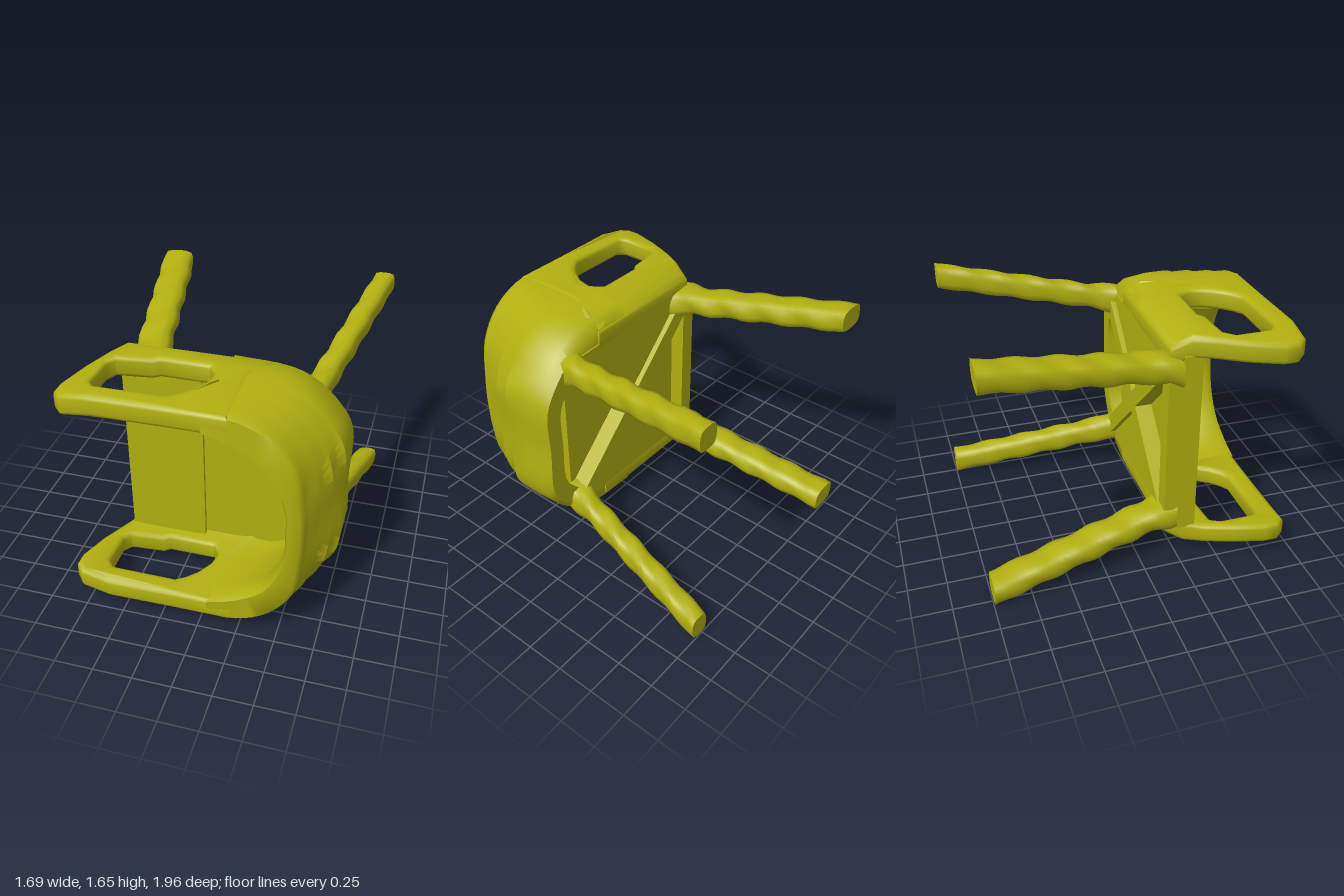
import * as THREE from 'three';
import { mergeVertices, toCreasedNormals } from 'three/addons/utils/BufferGeometryUtils.js';
import { ParametricGeometry } from 'three/addons/geometries/ParametricGeometry.js';

const material = new THREE.MeshStandardMaterial({ color: 0xb2b010, side: THREE.DoubleSide });

// Moves every vertex by a rule, then rebuilds smooth normals with sharp edges kept.
function shaped(geometry, rule, crease = 0.9) {
  const p = geometry.attributes.position;
  const v = new THREE.Vector3();
  for (let i = 0; i < p.count; i++) {
    v.fromBufferAttribute(p, i);
    rule(v);
    p.setXYZ(i, v.x, v.y, v.z);
  }
  geometry.deleteAttribute('uv');
  geometry.deleteAttribute('normal');
  return toCreasedNormals(mergeVertices(geometry, 1e-4), crease);
}

const outline = (points) => points.map(([x, y]) => new THREE.Vector2(x, y));

// U-shaped curve around the backrest, given one half and mirrored in y.
function uCurve(half) {
  const lower = half.map(([x, y]) => new THREE.Vector3(x, -y, 0));
  const upper = half.slice(0, -1).reverse().map(([x, y]) => new THREE.Vector3(x, y, 0));
  return new THREE.CatmullRomCurve3([...lower, ...upper], false, 'centripetal');
}

// Backrest: a wrapped wall that steps outward towards the seat.
function backGeometry() {
  const outer = [
    uCurve([[0.05, 0.755], [0.25, 0.75], [0.45, 0.65], [0.58, 0.46], [0.62, 0.2], [0.63, 0]]),
    uCurve([[0.05, 0.765], [0.4, 0.74], [0.56, 0.67], [0.7, 0.53], [0.79, 0.37], [0.79, 0]]),
  ];
  const inner = [
    uCurve([[0.05, 0.63], [0.2, 0.57], [0.38, 0.46], [0.48, 0.3], [0.53, 0.12], [0.53, 0]]),
    uCurve([[0.05, 0.62], [0.35, 0.6], [0.5, 0.52], [0.62, 0.4], [0.67, 0.28], [0.67, 0]]),
  ];
  // side, height z, flare from rim to base, narrowing in y
  const levels = [
    [outer, 0.19, 0.93, 0.9], [outer, 0.26, 1, 0.97], [outer, 0.4, 1, 1], [outer, 0.54, 1, 1],
    [outer, 0.57, 0.75, 1], [outer, 0.68, 0.72, 1], [outer, 0.71, 0.44, 1], [outer, 0.81, 0.4, 1],
    [outer, 0.84, 0.16, 1], [outer, 0.92, 0.1, 1], [outer, 0.955, -0.05, 0.985],
    [inner, 0.965, 0.12, 1.02], [inner, 0.92, 0, 1], [inner, 0.8, 0.15, 1], [inner, 0.55, 0.6, 1],
    [inner, 0.35, 0.9, 1], [inner, 0.19, 1, 0.92], [outer, 0.19, 0.93, 0.9],
  ];
  const a = new THREE.Vector3(), b = new THREE.Vector3();
  const n = levels.length - 1;
  const geometry = new ParametricGeometry((u, v, target) => {
    const [side, z, flare, narrow] = levels[Math.round(v * n)];
    side[0].getPoint(u, a);
    side[1].getPoint(u, b);
    a.lerp(b, flare);
    target.set(a.x, a.y * narrow, z);
  }, 40, n);
  return shaped(geometry, () => {}, 1.0);
}

// Armrest: side panel with an opening, leaning in at its foot and front tip.
function armGeometry(side) {
  const shape = new THREE.Shape(outline([
    [-0.6, 0.18], [0.3, 0.18], [0.3, 0.3], [0.2, 0.5], [0.2, 0.96], [-0.2, 0.96], [-0.6, 0.965],
    [-0.79, 0.95], [-0.845, 0.89], [-0.845, 0.8], [-0.78, 0.6], [-0.7, 0.42], [-0.64, 0.3],
  ]));
  shape.holes.push(new THREE.Path(outline([
    [-0.62, 0.5], [-0.4, 0.48], [-0.36, 0.45], [-0.05, 0.45], [0, 0.52], [-0.02, 0.62],
    [-0.08, 0.72], [-0.14, 0.78], [-0.2, 0.82], [-0.62, 0.82], [-0.66, 0.78], [-0.66, 0.56],
  ])));
  const geometry = new THREE.ExtrudeGeometry(shape, {
    depth: 0.08, bevelThickness: 0.03, bevelSize: 0.035, bevelOffset: -0.035, bevelSegments: 3,
  });
  geometry.translate(0, 0, -0.04).rotateX(Math.PI / 2);
  return shaped(geometry, (v) => {
    const foot = Math.max(0, 0.32 - v.z) * 0.6;
    const tip = Math.max(0, -0.6 - v.x) * 0.16;
    v.y += side * (0.695 - foot - tip);
  });
}

// Leg: rounded bar from the seat to the foot with a rough, twisted surface.
function legGeometry(top, foot, halfX, halfY, phase) {
  const geometry = new THREE.CylinderGeometry(1, 1, 1, 16, 28);
  geometry.rotateX(Math.PI / 2);
  return shaped(geometry, (v) => {
    const t = 0.5 - v.z;
    const angle = Math.atan2(v.y, v.x);
    const radius = Math.hypot(v.x, v.y);
    const square = radius / Math.pow(Math.cos(angle) ** 4 + Math.sin(angle) ** 4, 0.25);
    const ripple = 0.93 + 0.09 * Math.sin(2 * angle + t * 30 + phase) * (1 - t * 0.5);
    const flare = 1 + 0.3 * Math.max(0, 1 - t * 6);
    const size = square * ripple * flare;
    v.set(
      top[0] + (foot[0] - top[0]) * t + Math.cos(angle) * size * halfX,
      top[1] + (foot[1] - top[1]) * t + Math.sin(angle) * size * halfY,
      0.25 - 1.245 * t,
    );
  }, 1.0);
}

export function createModel() {
  const model = new THREE.Group();
  model.name = 'chair';
  const body = new THREE.Group();
  body.name = 'chairBody';
  body.position.y = 0.83;
  model.add(body);

  const add = (name, geometry) => {
    const mesh = new THREE.Mesh(geometry, material);
    mesh.name = name;
    body.add(mesh);
    return mesh;
  };
  const slab = (name, x0, x1, halfY, z0, z1) => {
    const mesh = add(name, new THREE.BoxGeometry(x1 - x0, halfY * 2, z1 - z0));
    mesh.position.set((x0 + x1) / 2, 0, (z0 + z1) / 2);
  };

  add('backrest', backGeometry());

  // Seat in two panels with a front apron
  slab('seatFront', -0.645, -0.13, 0.63, 0.26, 0.375);
  slab('seatRear', -0.13, 0.56, 0.6, 0.26, 0.35);
  slab('seatApron', -0.645, -0.54, 0.56, 0.16, 0.3);

  for (const side of [-1, 1]) {
    add('armrest', armGeometry(side));

    // Cross brace under the seat
    const brace = add('crossBrace', new THREE.BoxGeometry(1.5, 0.11, 0.14));
    brace.position.z = 0.215;
    brace.rotation.z = side * Math.atan2(0.53, 0.55);

    // Triangular underside panel between the braces
    const triangle = new THREE.Shape(outline([[-0.6, side * 0.62], [0, 0], [0.58, side * 0.58]]));
    const panel = add('undersidePanel', new THREE.ExtrudeGeometry(triangle, { depth: 0.1, bevelEnabled: false }));
    panel.position.z = 0.18;

    add('frontLeg', legGeometry([-0.53, side * 0.52], [-0.725, side * 0.745], 0.115, 0.08, side));
    add('rearLeg', legGeometry([0.53, side * 0.51], [0.775, side * 0.745], 0.075, 0.085, side + 2));
  }
  return model;
}
